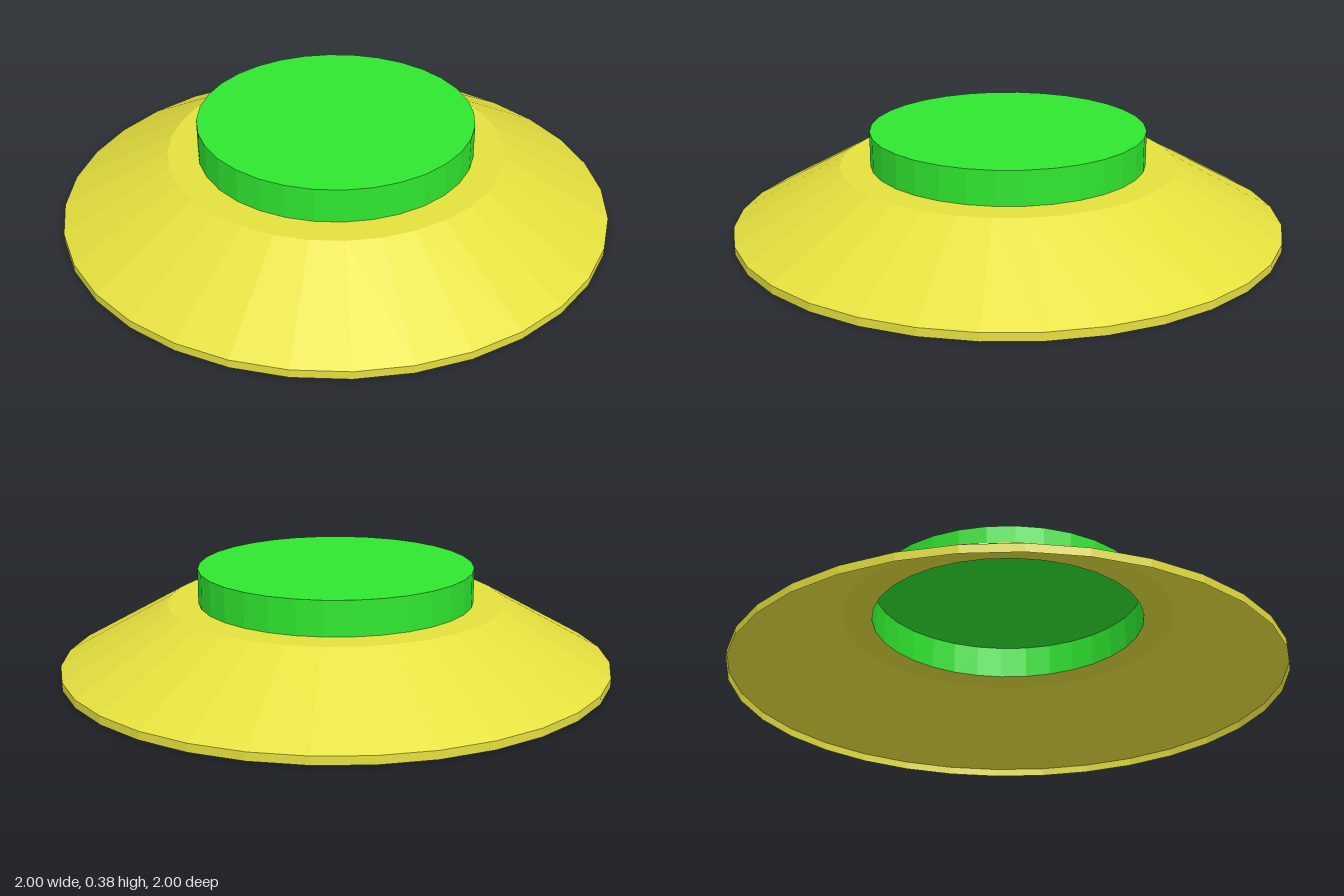
import * as THREE from 'three';

const yellow = new THREE.MeshStandardMaterial({ color: 0xe5e03e, flatShading: true, side: THREE.DoubleSide });
yellow.name = 'yellow';
const green = new THREE.MeshStandardMaterial({ color: 0x2fe72f, flatShading: true, side: THREE.DoubleSide });
green.name = 'green';

const SEGMENTS = 32;

// Thin surface of revolution from [radius, height] points, listed bottom to top
function turned(name, points, material) {
  const profile = points.map(([r, y]) => new THREE.Vector2(r, y));
  const mesh = new THREE.Mesh(new THREE.LatheGeometry(profile, SEGMENTS), material);
  mesh.name = name;
  return mesh;
}

export function createModel() {
  const model = new THREE.Group();
  model.name = 'flaredDiscWithCap';

  // Hollow yellow skirt: upright rim, sloping flare, flat shoulder
  model.add(turned('rim', [[1, 0], [1, 0.03]], yellow));
  model.add(turned('flare', [[1, 0.03], [0.61, 0.25]], yellow));
  model.add(turned('shoulder', [[0.61, 0.25], [0.5, 0.25]], yellow));

  // Green cap, open underneath
  model.add(turned('capWall', [[0.5, 0.25], [0.5, 0.375]], green));
  model.add(turned('capTop', [[0.5, 0.375], [0, 0.375]], green));

  return model;
}
